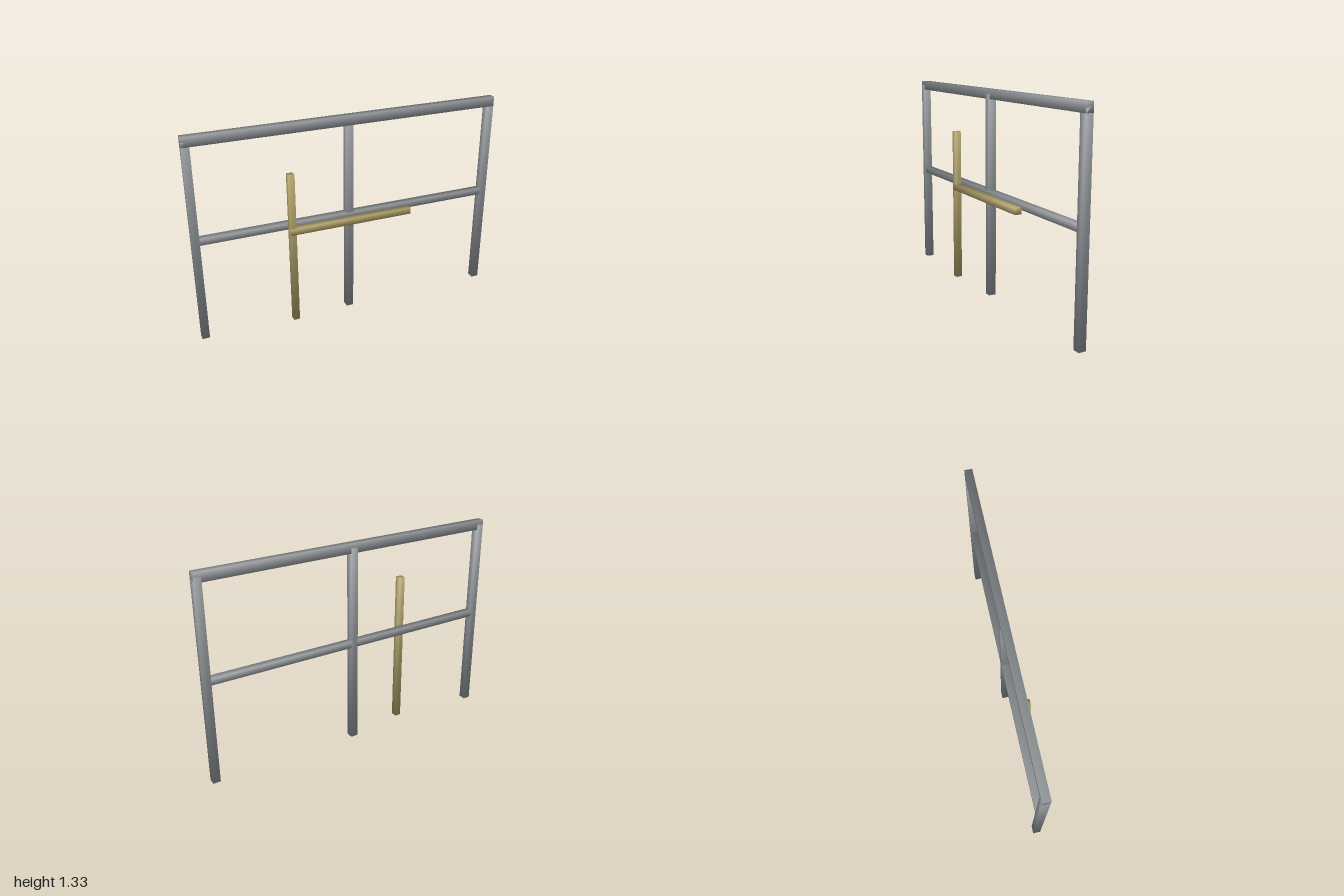
import * as THREE from 'three';

const grey = new THREE.MeshStandardMaterial({ color: 0x93989b });
const ochre = new THREE.MeshStandardMaterial({ color: 0xb2a36b });

// Square bar between two corners, with soft normals pointing out through each corner
function bar(name, material, [x0, y0, z0], [x1, y1, z1]) {
  const geometry = new THREE.BoxGeometry(x1 - x0, y1 - y0, z1 - z0);
  const { position, normal } = geometry.attributes;
  const n = new THREE.Vector3();
  for (let i = 0; i < position.count; i++) {
    n.set(Math.sign(position.getX(i)), Math.sign(position.getY(i)), Math.sign(position.getZ(i))).normalize();
    normal.setXYZ(i, n.x, n.y, n.z);
  }
  const mesh = new THREE.Mesh(geometry, material);
  mesh.name = name;
  mesh.position.set((x0 + x1) / 2, (y0 + y1) / 2, (z0 + z1) / 2);
  return mesh;
}

export function createModel() {
  const model = new THREE.Group();
  model.name = 'railFrame';

  const back = -0.045, mid = 0.003, front = 0.045;
  const half = 0.0235; // half a post's width

  // Upright posts
  const posts = { rightPost: -1 + half, middlePost: 0, leftPost: 1 - half };
  for (const [name, x] of Object.entries(posts)) {
    model.add(bar(name, grey, [x - half, 0, back], [x + half, 1.304, mid]));
  }

  // Top rail over the posts, and the thinner middle rail between them
  model.add(bar('topRail', grey, [-1, 1.272, back], [1, 1.332, mid]));
  model.add(bar('middleRail', grey, [-0.953, 0.656, back], [0.953, 0.697, mid]));

  // Coloured upright and crossbar on the front, the crossbar a hair proud
  model.add(bar('frontUpright', ochre, [-0.41, 0.014, mid], [-0.37, 1.03, front - 0.0005]));
  model.add(bar('frontCrossbar', ochre, [-0.41, 0.63, mid], [0.408, 0.672, front]));

  return model;
}
